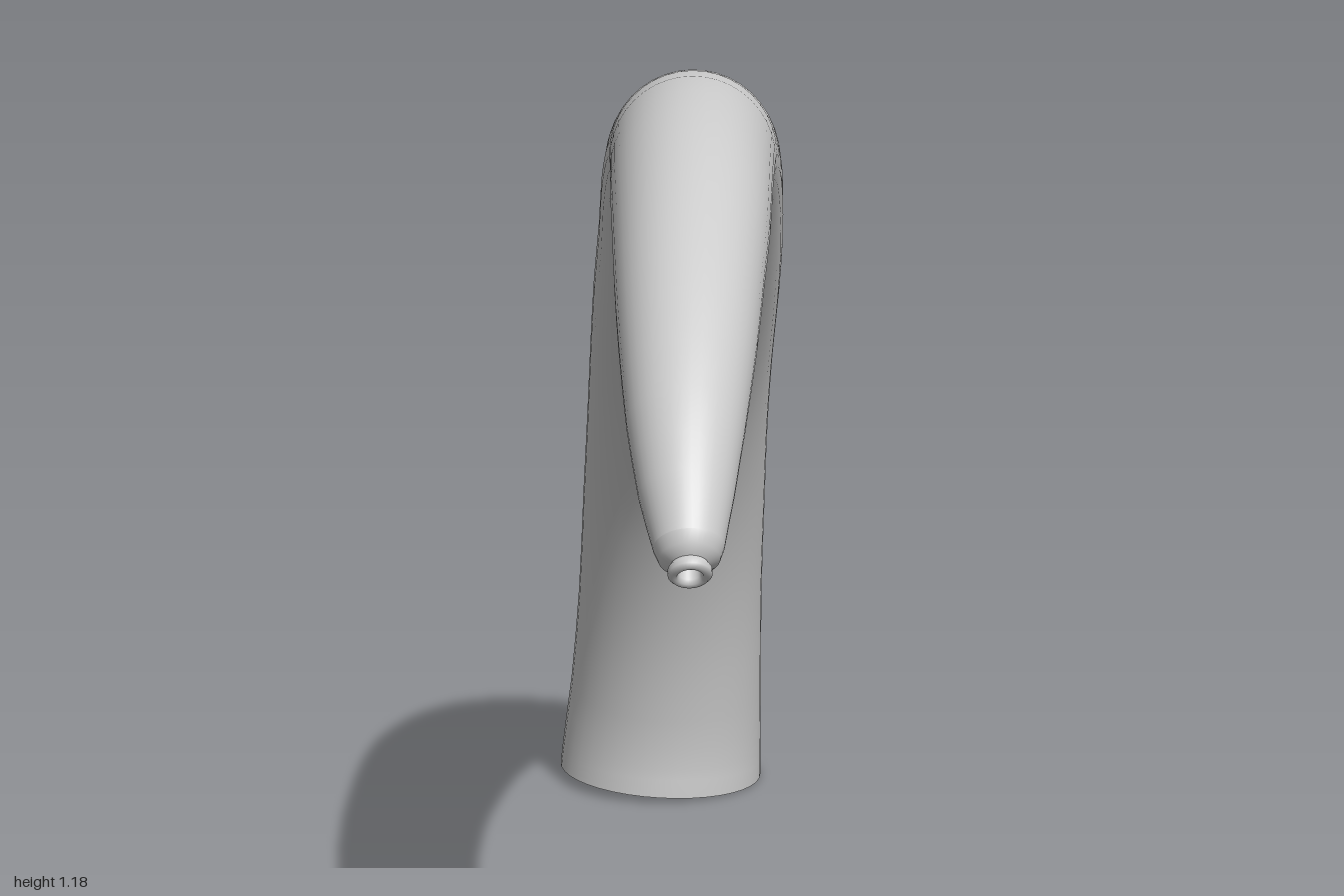
import * as THREE from 'three';

// Centreline stations from base to tip: x, y, z, radius
const STATIONS = [
  [0.063, 0.009, -0.845, 0.153],
  [0.066, 0.06, -0.844, 0.15],
  [0.07, 0.15, -0.831, 0.144],
  [0.071, 0.3, -0.795, 0.137],
  [0.068, 0.46, -0.737, 0.134],
  [0.062, 0.595, -0.663, 0.131],
  [0.055, 0.71, -0.58, 0.13],
  [0.045, 0.82, -0.47, 0.129],
  [0.032, 0.913, -0.35, 0.125],
  [0.013, 0.989, -0.22, 0.12],
  [-0.008, 1.04, -0.08, 0.113],
  [-0.03, 1.07, 0.06, 0.106],
  [-0.053, 1.084, 0.2, 0.1],
  [-0.08, 1.072, 0.36, 0.095],
  [-0.102, 1.044, 0.495, 0.09],
  [-0.124, 1.003, 0.62, 0.083],
  [-0.143, 0.953, 0.73, 0.075],
  [-0.162, 0.887, 0.838, 0.063],
  [-0.173, 0.828, 0.91, 0.05],
  [-0.178, 0.784, 0.957, 0.037],
];
const SIDES = 40;
const STEPS = 38;

const path = new THREE.CatmullRomCurve3(STATIONS.map(([x, y, z]) => new THREE.Vector3(x, y, z)));
const radii = new THREE.CatmullRomCurve3(STATIONS.map((s, i) => new THREE.Vector3(s[3], i * 0.1, 0)));
const radiusAt = (t) => radii.getPoint(t).x;

// Skin a strip over rings given as [t, radius, offset along the tangent]
function skin(name, rings, material) {
  const positions = [];
  const index = [];
  rings.forEach(([t, r, offset = 0], i) => {
    const tangent = path.getTangent(t);
    const centre = path.getPoint(t).addScaledVector(tangent, offset);
    const u = new THREE.Vector3(1, 0, 0).addScaledVector(tangent, -tangent.x).normalize();
    const v = tangent.clone().cross(u);
    for (let j = 0; j < SIDES; j++) {
      const a = (j / SIDES) * Math.PI * 2;
      const p = centre.clone().addScaledVector(u, r * Math.cos(a)).addScaledVector(v, r * Math.sin(a));
      positions.push(p.x, p.y, p.z);
      if (i === 0) continue;
      const k = (j + 1) % SIDES;
      const lo = (i - 1) * SIDES;
      const hi = i * SIDES;
      index.push(lo + j, lo + k, hi + k, lo + j, hi + k, hi + j);
    }
  });
  const geometry = new THREE.BufferGeometry();
  geometry.setAttribute('position', new THREE.Float32BufferAttribute(positions, 3));
  geometry.setIndex(index);
  geometry.computeVertexNormals();
  const mesh = new THREE.Mesh(geometry, material);
  mesh.name = name;
  return mesh;
}

export function createModel() {
  const group = new THREE.Group();
  group.name = 'hollowTusk';
  const material = new THREE.MeshStandardMaterial({ color: 0xcccccc, side: THREE.DoubleSide });

  const outer = [];
  const inner = [];
  for (let i = 0; i <= STEPS; i++) {
    const t = i / STEPS;
    outer.push([t, radiusAt(t)]);
    // The bore narrows to a pinhole at the tip
    inner.unshift([t, radiusAt(t) * (0.8 - 0.48 * t ** 4)]);
  }
  const holeRadius = inner[0][1];

  group.add(skin('outerShell', outer, material));
  group.add(skin('bore', inner, material));
  group.add(skin('baseRim', [[0, 0.8 * radiusAt(0)], [0, radiusAt(0)]], material));

  // Blunt shoulder, then a small rounded lip around the hole
  group.add(skin('tipShoulder', [[1, 0.037], [1, 0.032, 0.014], [1, 0.02, 0.022]], material));
  group.add(skin('tipLip', [
    [1, 0.02, 0.022], [1, 0.023, 0.027], [1, 0.023, 0.033], [1, 0.019, 0.037],
    [1, 0.014, 0.036], [1, holeRadius, 0.031], [1, holeRadius, 0],
  ], material));
  return group;
}
